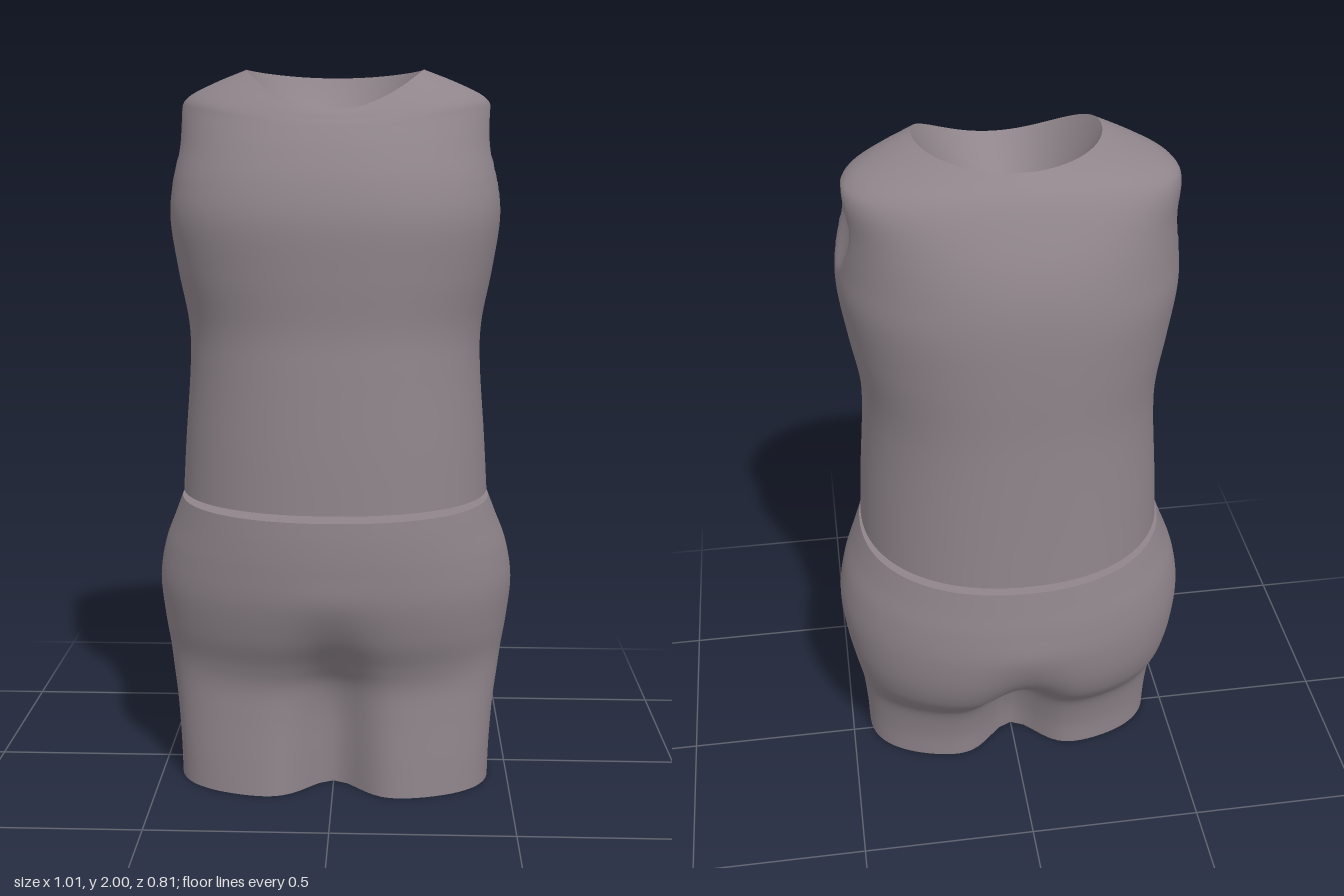
import * as THREE from 'three';

const SIDES = 144;
const STEPS = 7;

// Section columns: half width, widest z, front z, back z,
// side y, front y, back y, superellipse power, cleft depth
const level = (y, a, zc, zf, zb, n = 2.2, cleft = 0) => [a, zc, zf, zb, y, y, y, n, cleft];

const chestSections = [
  level(0.845, 0.43, 0.03, 0.402, -0.372),
  level(1.0, 0.42, 0.03, 0.398, -0.368),
  level(1.2, 0.405, 0.03, 0.389, -0.365),
  level(1.32, 0.407, 0.03, 0.385, -0.365),
  level(1.46, 0.432, 0.04, 0.396, -0.37),
  level(1.6, 0.452, 0.04, 0.402, -0.371),
  [0.446, 0.03, 0.383, -0.362, 1.7, 1.7, 1.7, 2.15, 0],
  [0.433, -0.01, 0.348, -0.338, 1.8, 1.785, 1.79, 2.1, 0],
  [0.431, -0.05, 0.315, -0.3, 1.89, 1.845, 1.875, 2, 0],
  [0.408, -0.04, 0.3, -0.265, 1.93, 1.866, 1.935, 2, 0],
  [0.33, 0, 0.29, -0.235, 1.967, 1.88, 1.965, 2, 0],
  [0.24, 0.04, 0.28, -0.2, 2.0, 1.89, 1.985, 2, 0],
];

const hipSections = [
  level(0, 0.445, 0.062, 0.293, -0.167, 2.6, 0.55),
  level(0.1, 0.448, 0.06, 0.288, -0.178, 2.6, 0.5),
  level(0.22, 0.457, 0.05, 0.283, -0.218, 2.5, 0.42),
  level(0.31, 0.47, 0.03, 0.285, -0.295, 2.4, 0.3),
  level(0.38, 0.481, 0.01, 0.308, -0.348, 2.3, 0.17),
  level(0.47, 0.496, 0, 0.353, -0.385, 2.2, 0.06),
  level(0.58, 0.506, 0, 0.39, -0.404, 2.1, 0),
  level(0.68, 0.49, 0, 0.403, -0.4, 2.1, 0),
  level(0.76, 0.46, 0.01, 0.406, -0.388, 2.15, 0),
  level(0.825, 0.435, 0.02, 0.404, -0.378, 2.2, 0),
];

// Smooth interpolation of every column between neighbouring sections
function refine(rows) {
  const out = [];
  const at = (i) => rows[Math.min(Math.max(i, 0), rows.length - 1)];
  for (let i = 0; i < rows.length - 1; i++) {
    for (let k = 0; k < STEPS; k++) {
      const t = k / STEPS;
      out.push(at(i).map((p1, c) => {
        const p0 = at(i - 1)[c], p2 = at(i + 1)[c], p3 = at(i + 2)[c];
        return p1 + 0.5 * t * (p2 - p0 + t * (2 * p0 - 5 * p1 + 4 * p2 - p3 + t * (3 * (p1 - p2) + p3 - p0)));
      }));
    }
  }
  out.push(rows[rows.length - 1]);
  return out;
}

// One closed ring of points for a section
function ring([a, zc, zf, zb, ys, yf, yb, n, cleft]) {
  const points = [];
  for (let i = 0; i < SIDES; i++) {
    const angle = (i / SIDES) * Math.PI * 2;
    const c = Math.cos(angle), s = Math.sin(angle);
    const x = a * Math.sign(c) * Math.abs(c) ** (2 / n);
    const reach = s > 0 ? zf - zc : zc - zb;
    const notch = 1 - cleft * Math.exp(-((x / 0.1) ** 2));
    const z = zc + reach * Math.sign(s) * Math.abs(s) ** (2 / n) * notch;
    points.push(new THREE.Vector3(x, ys + ((s > 0 ? yf : yb) - ys) * s * s, z));
  }
  return points;
}

// Skin over a stack of rings
function skin(rings) {
  const index = [];
  for (let j = 0; j < rings.length - 1; j++) {
    for (let i = 0; i < SIDES; i++) {
      const next = (i + 1) % SIDES;
      const a = j * SIDES + i, b = j * SIDES + next;
      index.push(a, a + SIDES, b, b, a + SIDES, b + SIDES);
    }
  }
  const geometry = new THREE.BufferGeometry().setFromPoints(rings.flat());
  geometry.setIndex(index);
  geometry.computeVertexNormals();
  return geometry;
}

// Rings shrinking from an edge to a centre, along a parabola in height
function dish(edge, centre, count) {
  const rings = [];
  for (let k = 0; k <= count; k++) {
    const r = 1 - k / count;
    rings.push(edge.map((p) => new THREE.Vector3(
      centre.x + (p.x - centre.x) * r,
      centre.y + (p.y - centre.y) * r * r,
      centre.z + (p.z - centre.z) * r,
    )));
  }
  return rings;
}

// Shallow oval arm socket pressed into each side
function pressSocket(p) {
  if (Math.abs(p.x) < 0.3) return;
  const dy = (p.y - 1.785) / 0.127;
  const dz = (p.z + 0.01 + 0.03 * dy) / 0.098;
  const q = dy * dy + dz * dz;
  if (q < 1) p.x -= Math.sign(p.x) * 0.035 * (1 - q);
}

export function createModel() {
  const model = new THREE.Group();
  model.name = 'torso';
  const clay = new THREE.MeshStandardMaterial({ color: 0x8f858b });
  clay.name = 'mauve grey';

  const add = (name, rings) => {
    const mesh = new THREE.Mesh(skin(rings), clay);
    mesh.name = name;
    model.add(mesh);
  };

  // Chest with neck bowl and flat underside
  const chest = refine(chestSections).map(ring);
  chest.forEach((points) => points.forEach(pressSocket));
  add('chest', chest);
  add('neckSocket', dish(chest[chest.length - 1], new THREE.Vector3(0, 1.79, 0.04), 16));
  add('chestUnderside', dish(chest[0], new THREE.Vector3(0, 0.845, 0.02), 1).reverse());

  // Hips running into two leg stumps, closed at the waist and the legs
  const hips = refine(hipSections).map(ring);
  add('hips', hips);
  add('waistTop', dish(hips[hips.length - 1], new THREE.Vector3(0, 0.825, 0.02), 1));
  add('legCutFace', dish(hips[0], new THREE.Vector3(0, 0, 0.062), 1).reverse());

  return model;
}
